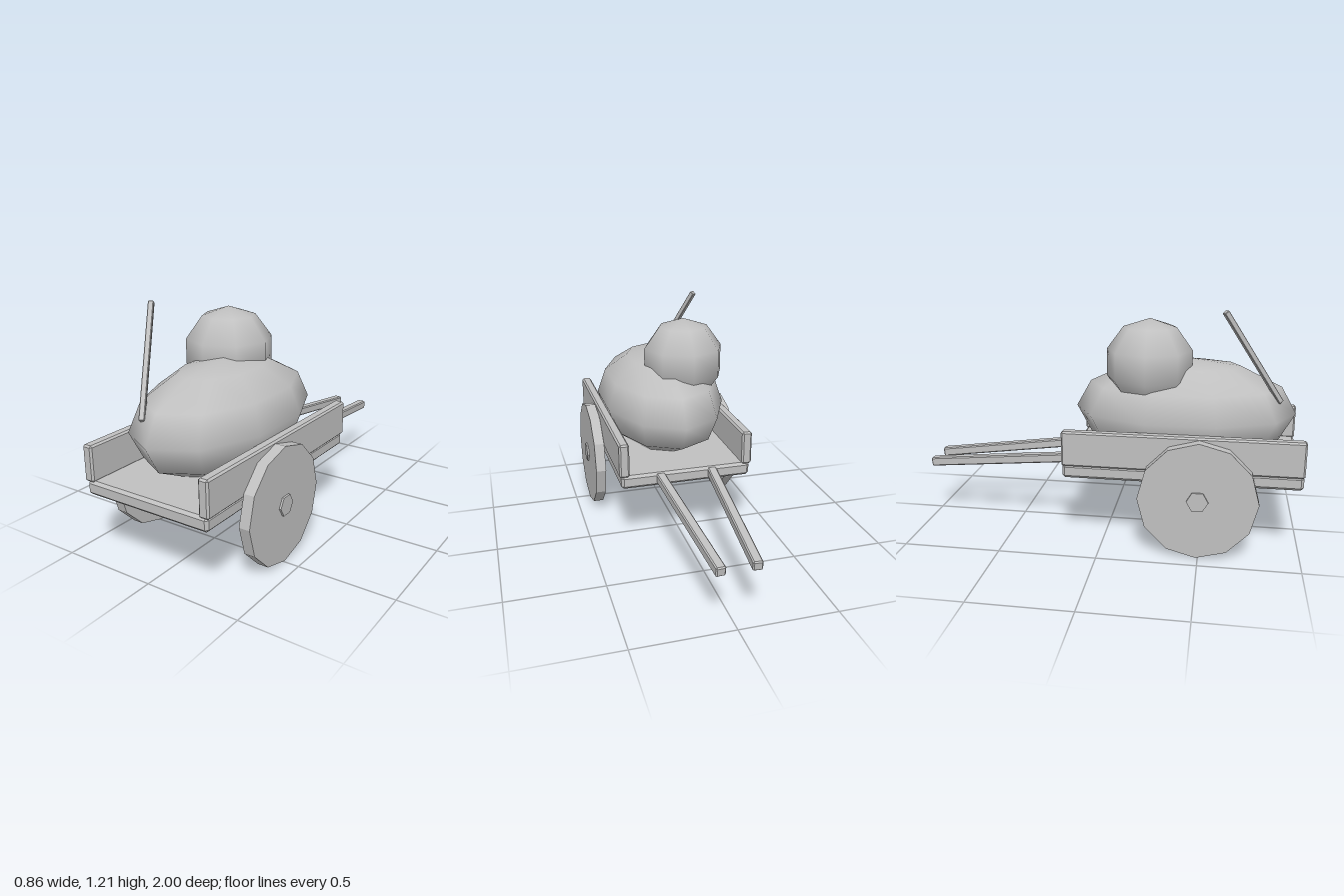
import * as THREE from 'three';
import { ConvexGeometry } from 'three/addons/geometries/ConvexGeometry.js';

const grey = new THREE.MeshStandardMaterial({ color: 0xc0c0c0 });
grey.name = 'clayGrey';

function part(parent, name, geometry, x, y, z) {
  const mesh = new THREE.Mesh(geometry, grey);
  mesh.name = name;
  mesh.position.set(x, y, z);
  parent.add(mesh);
  return mesh;
}

// Box with chamfered edges
function chamferBox(w, h, d, b) {
  const points = [];
  for (const sx of [-1, 1]) for (const sy of [-1, 1]) for (const sz of [-1, 1]) {
    const [x, y, z] = [w / 2, h / 2, d / 2];
    points.push(
      new THREE.Vector3(sx * x, sy * (y - b), sz * (z - b)),
      new THREE.Vector3(sx * (x - b), sy * y, sz * (z - b)),
      new THREE.Vector3(sx * (x - b), sy * (y - b), sz * z)
    );
  }
  return new ConvexGeometry(points);
}

// Faceted disc with its axis along x
function disc(radius, width, sides) {
  const g = new THREE.CylinderGeometry(radius, radius, width, sides).rotateZ(Math.PI / 2).toNonIndexed();
  g.computeVertexNormals();
  return g;
}

// Square beam running between two points
function beam(parent, name, from, to, size, bevel) {
  const a = new THREE.Vector3(...from), b = new THREE.Vector3(...to);
  const mid = a.clone().add(b).multiplyScalar(0.5);
  const mesh = part(parent, name, chamferBox(size, size, a.distanceTo(b), bevel), mid.x, mid.y, mid.z);
  mesh.lookAt(b);
  return mesh;
}

export function createModel() {
  const model = new THREE.Group();
  model.name = 'loadedHandcart';

  // Cart floor
  part(model, 'cartFloor', chamferBox(0.7, 0.072, 1.195, 0.014), 0, 0.394, 0.4);

  // Mirrored side boards, wheels, hubs and pulling shafts
  for (const s of [1, -1]) {
    const side = s > 0 ? 'left' : 'right';
    part(model, side + 'SideBoard', chamferBox(0.054, 0.182, 1.2, 0.009), s * 0.333, 0.515, 0.4);
    part(model, side + 'Wheel', disc(0.298, 0.056, 12), s * 0.39, 0.298, 0.49);
    part(model, side + 'Hub', disc(0.054, 0.076, 6), s * 0.39, 0.3, 0.49);
    beam(model, side + 'Shaft', [s * 0.142, 0.402, -0.17], [s * 0.085, 0.312, -0.998], 0.048, 0.006);
  }

  // Large sack lying in the cart
  const sack = new THREE.SphereGeometry(1, 10, 6, Math.PI / 2).scale(0.347, 0.28, 0.578);
  part(model, 'largeSack', sack, 0, 0.651, 0.391);

  // Small round bundle on top
  part(model, 'smallBundle', new THREE.SphereGeometry(0.231, 8, 5), -0.095, 0.914, 0.213);

  // Stick poking out of the sack
  beam(model, 'stick', [-0.094, 0.735, 0.88], [-0.268, 1.207, 0.588], 0.027, 0.003);

  return model;
}
